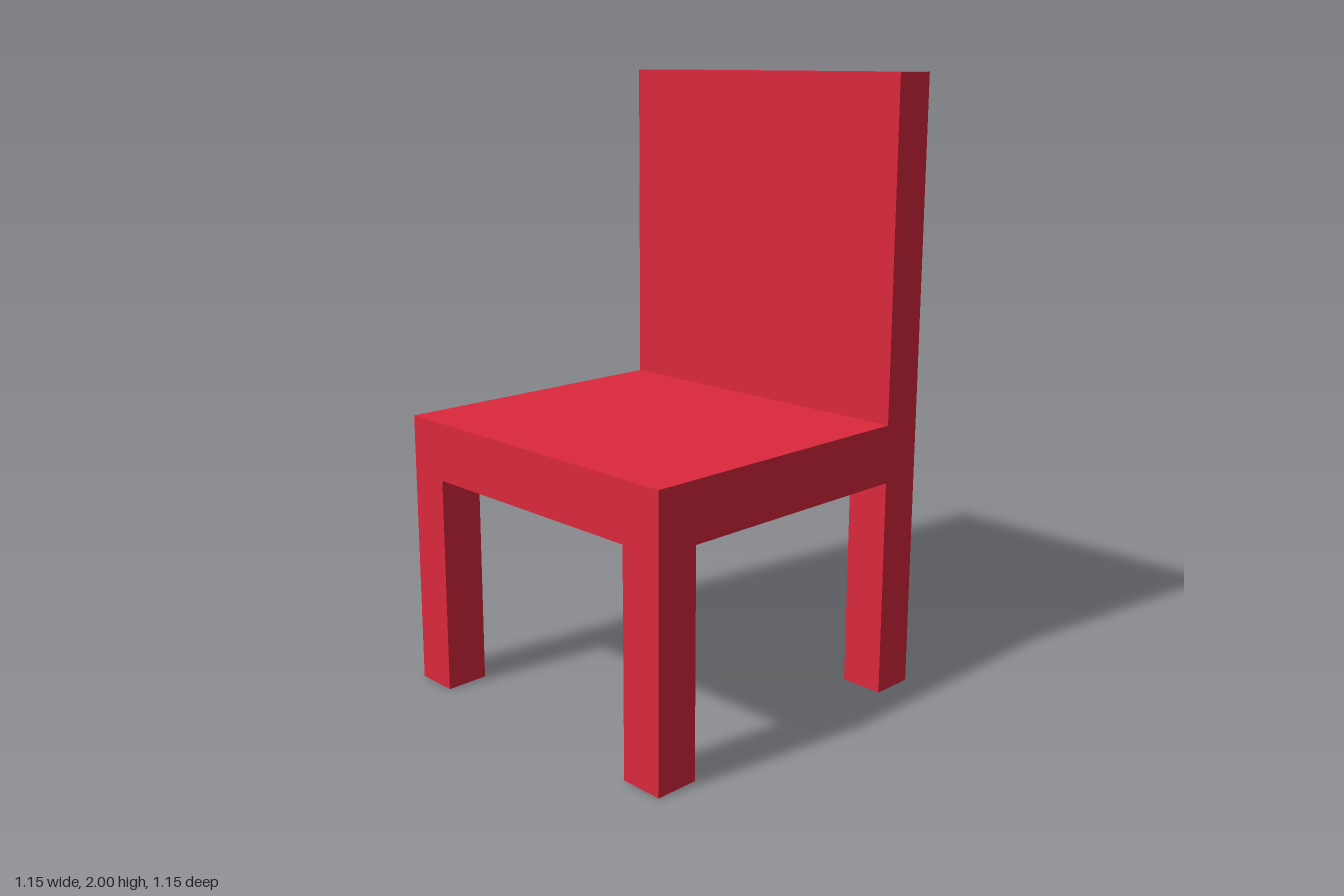
import * as THREE from 'three';

export function createModel() {
  const chair = new THREE.Group();
  chair.name = 'chair';
  const red = new THREE.MeshStandardMaterial({ color: 0xdc283c });

  const half = 0.574;      // half of the square footprint
  const thick = 0.145;     // legs and backrest
  const seatBottom = 0.72;
  const seatTop = 0.91;
  const height = 2;

  // Box with its base resting at height y
  function block(name, w, h, d, x, y, z) {
    const mesh = new THREE.Mesh(new THREE.BoxGeometry(w, h, d), red);
    mesh.name = name;
    mesh.position.set(x, y + h / 2, z);
    chair.add(mesh);
  }

  // Seat slab
  block('seat', half * 2, seatTop - seatBottom, half * 2, 0, seatBottom, 0);

  // Backrest, flush with the rear edge of the seat
  block('backrest', half * 2, height - seatTop, thick, 0, seatTop, -half + thick / 2);

  // Four square legs, flush with the corners
  const offset = half - thick / 2;
  for (const [end, sz] of [['front', 1], ['back', -1]]) {
    for (const [side, sx] of [['Left', 1], ['Right', -1]]) {
      block(`${end}${side}Leg`, thick, seatBottom, thick, sx * offset, 0, sz * offset);
    }
  }

  return chair;
}
